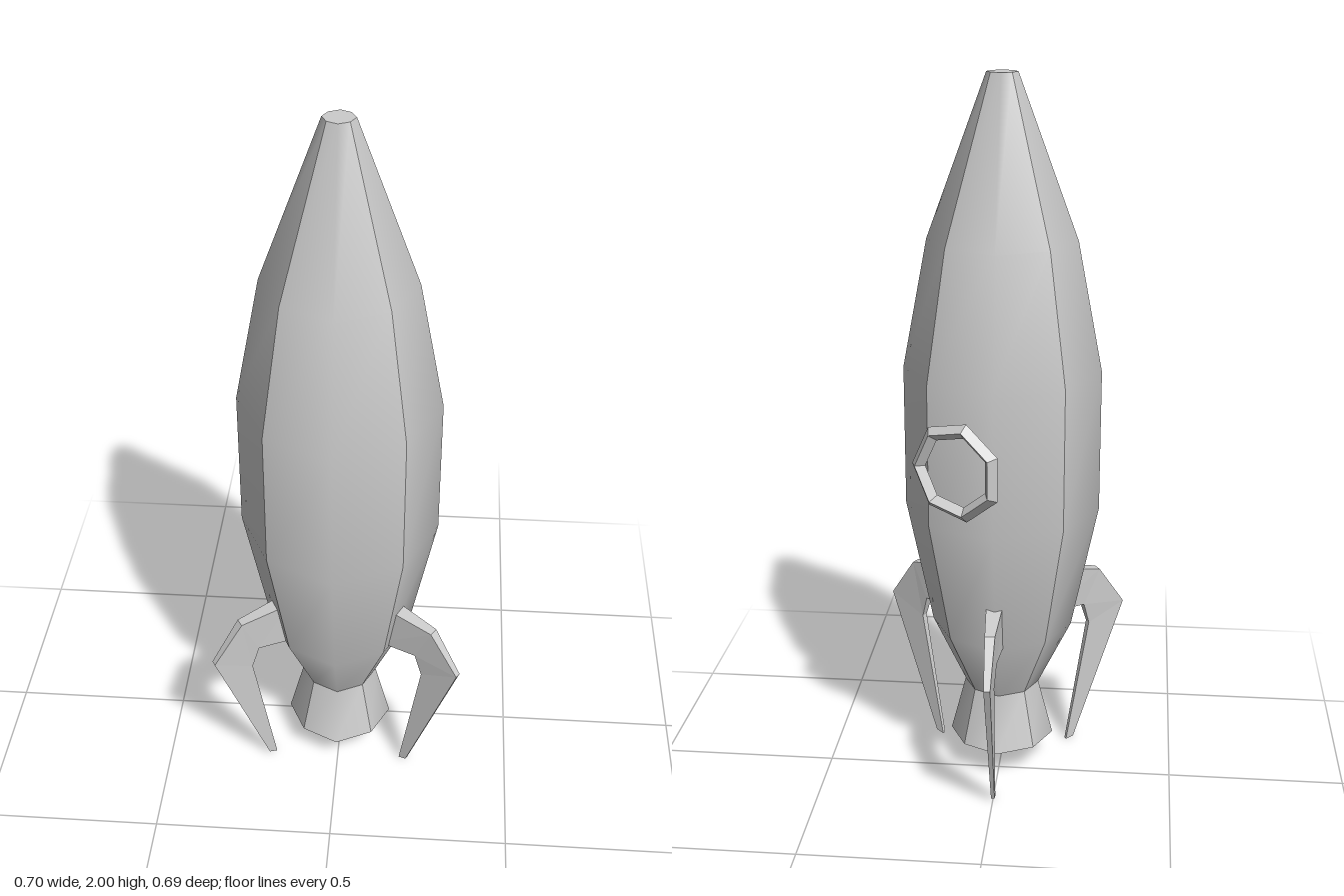
import * as THREE from 'three';

const AXIS_Z = 0.075; // the hull stands slightly forward of the origin
const SIDES = 8;
const DIAGONAL = 0.95; // corners on the diagonals sit a little closer in

const smooth = new THREE.MeshStandardMaterial({ color: 0xcccccc });
const faceted = new THREE.MeshStandardMaterial({ color: 0xcccccc, flatShading: true });

function geometryFrom(positions, indices) {
  const g = new THREE.BufferGeometry();
  g.setAttribute('position', new THREE.Float32BufferAttribute(positions, 3));
  g.setIndex(indices);
  g.computeVertexNormals();
  return g;
}

function corner(i, radius, y) {
  const a = (i / SIDES) * Math.PI * 2;
  const r = radius * (i % 2 ? DIAGONAL : 1);
  return [Math.sin(a) * r, y, Math.cos(a) * r];
}

// Eight-sided shell in four smooth panels, creased along the diagonals.
// profile: [radius, y] from bottom to top
function panelledShell(profile) {
  const positions = [], indices = [];
  for (let q = 0; q < 4; q++) {
    const start = positions.length / 3;
    for (const [r, y] of profile)
      for (let k = -1; k <= 1; k++) positions.push(...corner(q * 2 + k, r, y));
    for (let row = 0; row < profile.length - 1; row++)
      for (let k = 0; k < 2; k++) {
        const a = start + row * 3 + k, b = a + 1, c = a + 4, d = a + 3;
        indices.push(a, b, c, a, c, d);
      }
  }
  return geometryFrom(positions, indices);
}

// Flat eight-sided lid facing up or down
function lid(radius, y, up) {
  const positions = [0, y, 0], indices = [];
  for (let i = 0; i < SIDES; i++) {
    positions.push(...corner(i, radius, y));
    const a = i + 1, b = ((i + 1) % SIDES) + 1;
    indices.push(0, up ? a : b, up ? b : a);
  }
  return geometryFrom(positions, indices);
}

// Bent landing fin reaching out along +z, skinned over four sections.
// section: [upper distance, upper y, lower distance, lower y, half thickness]
function finGeometry() {
  const sections = [
    [0.19, 0.58, 0.17, 0.445, 0.024],
    [0.335, 0.55, 0.285, 0.445, 0.014],
    [0.42, 0.43, 0.305, 0.38, 0.009],
    [0.26, 0.006, 0.236, 0, 0.005],
  ];
  const positions = [], indices = [];
  for (const [ur, uy, lr, ly, h] of sections)
    positions.push(-h, uy, ur, h, uy, ur, h, ly, lr, -h, ly, lr);
  for (let s = 0; s < sections.length - 1; s++)
    for (let k = 0; k < 4; k++) {
      const a = s * 4 + k, b = s * 4 + ((k + 1) % 4);
      indices.push(a, a + 4, b + 4, a, b + 4, b);
    }
  const e = (sections.length - 1) * 4;
  indices.push(0, 1, 2, 0, 2, 3, e, e + 2, e + 1, e, e + 3, e + 2);
  return geometryFrom(positions, indices);
}

export function createModel() {
  const model = new THREE.Group();
  model.name = 'rocket';
  const add = (name, geometry, material, parent = model) => {
    const mesh = new THREE.Mesh(geometry, material);
    mesh.name = name;
    parent.add(mesh);
    return mesh;
  };

  // Hull and nozzle share one upright axis
  const core = new THREE.Group();
  core.name = 'core';
  core.position.set(-0.002, 0, AXIS_Z);
  model.add(core);
  const hull = [[0.107, 0.25], [0.2, 0.44], [0.274, 0.8], [0.274, 1.2], [0.205, 1.56], [0.042, 2]];
  add('hull', panelledShell(hull), smooth, core);
  add('noseCap', lid(0.042, 2, true), faceted, core);
  add('nozzle', panelledShell([[0.15, 0.085], [0.107, 0.25]]), smooth, core);
  add('nozzleBase', lid(0.15, 0.085, false), faceted, core);

  // Three fins, the front pair set slightly further in
  const finShape = finGeometry();
  const fins = [['backFin', 180, 0], ['leftFin', 59.5, -0.02], ['rightFin', -59.5, -0.02]];
  for (const [name, degrees, shift] of fins) {
    const fin = add(name, finShape, faceted);
    const a = THREE.MathUtils.degToRad(degrees);
    fin.rotation.y = a;
    fin.position.set(Math.sin(a) * shift, 0, AXIS_Z + Math.cos(a) * shift);
  }

  // Seven-sided porthole rim on the back left panel
  const rim = add('portholeRim', new THREE.TorusGeometry(0.12, 0.021, 4, 7), faceted);
  rim.position.set(0.096, 0.988, -0.178);
  rim.rotation.y = -0.45;

  return model;
}
